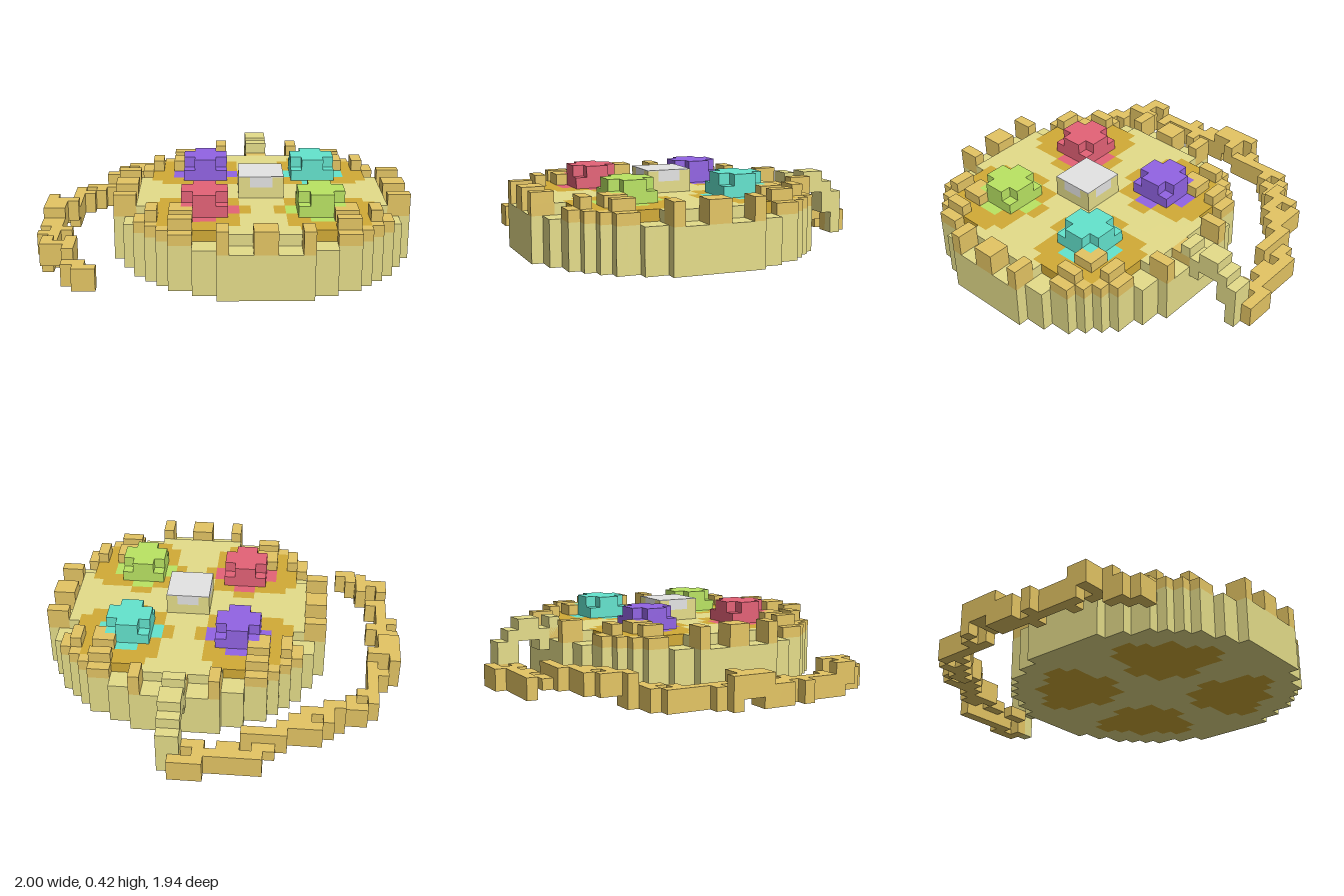
import * as THREE from 'three';
import { mergeGeometries } from 'three/addons/utils/BufferGeometryUtils.js';

const C = 2 / 33; // edge of one block

const mat = (name, color) => {
  const m = new THREE.MeshStandardMaterial({ color });
  m.name = name;
  return m;
};

// Box covering block cells [i0,i1) x [k0,k1) x [j0,j1) along x, y, z
function block(i0, i1, k0, k1, j0, j1) {
  const g = new THREE.BoxGeometry((i1 - i0) * C, (k1 - k0) * C, (j1 - j0) * C);
  g.translate(((i0 + i1) / 2 - 16.5) * C, ((k0 + k1) / 2) * C, ((j0 + j1) / 2 - 16) * C);
  return g;
}

export function createModel() {
  const model = new THREE.Group();
  const olive = mat('olive', 0xe5dd8a);
  const tan = mat('tan', 0xe4c564);
  const brown = mat('darkBrown', 0xd2ab36);
  const grey = mat('grey', 0xe4e4e4);
  const red = mat('red', 0xe46277);
  const green = mat('green', 0xbae463);
  const purple = mat('purple', 0x9264e4);
  const teal = mat('teal', 0x64e4ce);

  const add = (name, material, blocks) => {
    const mesh = new THREE.Mesh(mergeGeometries(blocks), material);
    mesh.name = name;
    model.add(mesh);
  };

  // Disc is mirrored about (20, 19): a and b are distances from its centre lines
  const CX = 20, CZ = 19;
  const inPatch = (a, b) => {
    const r = Math.hypot(a, b), lo = Math.min(a, b);
    return (a - 5) ** 2 + (b - 5) ** 2 < 13 || (r > 7.5 && r < 10.7 && lo > (r > 9.5 ? 3 : 2));
  };
  const inKnobBase = (a, b) => (a - 5) ** 2 + (b - 5) ** 2 < 7;
  const eachCell = (fn) => {
    for (let i = 7; i < 33; i++) for (let j = 6; j < 32; j++) {
      const a = Math.abs(i + 0.5 - CX), b = Math.abs(j + 0.5 - CZ);
      if (a * a + b * b < 170) fn(i, j, a, b);
    }
  };

  // Rim studs: [a, b] pairs, used both ways round
  const studs = [[0.5, 11.5], [0.5, 12.5], [3.5, 11.5], [3.5, 12.5],
    [6.5, 9.5], [7.5, 9.5], [6.5, 7.5], [7.5, 7.5]];
  const rimSteps = [...studs.slice(0, 4), [6.5, 10.5], [7.5, 10.5], [8.5, 9.5]];
  const has = (list, a, b) => list.some(([p, q]) => (p === a && q === b) || (p === b && q === a));

  const body = [], patches = [], rim = [], stud = [];
  const knobs = { purple: [], teal: [], red: [], green: [] };
  const knobName = (i, j) => (j < CZ ? (i < CX ? 'purple' : 'teal') : (i < CX ? 'red' : 'green'));

  eachCell((i, j, a, b) => {
    const patch = inPatch(a, b), r2 = a * a + b * b;
    // Lower drum
    (patch ? patches : body).push(block(i, i + 1, 0, 4, j, j + 1));
    // Deck layer, dark between the studs
    if (has(rimSteps, a, b)) rim.push(block(i, i + 1, 4, 5, j, j + 1));
    else if (r2 < 125 || (r2 < 146 && Math.max(a, b) < 10)) {
      const target = inKnobBase(a, b) ? knobs[knobName(i, j)]
        : patch || (r2 > 112 && Math.min(a, b) > 4) ? patches : body;
      target.push(block(i, i + 1, 4, 5, j, j + 1));
    }
    // Raised studs; the rear middle is left to the cable outlet
    if (has(studs, a, b) && !(j < 9 && a < 1)) stud.push(block(i, i + 1, 5, 6, j, j + 1));
  });

  // Four knobs: square foot, plus-shaped cap
  for (const x of [15, 25]) for (const z of [14, 24]) {
    knobs[knobName(x, z)].push(
      block(x - 2, x + 2, 5, 6, z - 2, z + 2),
      block(x - 2, x + 2, 6, 7, z - 1, z + 1),
      block(x - 1, x + 1, 6, 7, z - 2, z - 1),
      block(x - 1, x + 1, 6, 7, z + 1, z + 2));
  }

  add('drumBody', olive, body);
  add('brownPatches', brown, patches);
  add('rim', tan, rim);
  add('rimStuds', tan, stud);
  add('purpleKnob', purple, knobs.purple);
  add('tealKnob', teal, knobs.teal);
  add('redKnob', red, knobs.red);
  add('greenKnob', green, knobs.green);

  // Centre button: olive foot and corner posts, grey cross and top plate
  const top = 6.92;
  const posts = [18, 21].flatMap((x) => [17, 20].map((z) => block(x, x + 1, 6, top, z, z + 1)));
  add('centreButton', olive, [block(18, 22, 5, 6, 17, 21), ...posts]);
  add('centreButtonCap', grey, [
    block(18, 22, top, 7, 17, 21),
    block(19, 21, 6, top, 17, 21),
    block(18, 19, 6, top, 18, 20),
    block(21, 22, 6, top, 18, 20)]);

  // Cable outlet arching down behind the drum
  add('cableOutlet', olive, [
    block(19, 21, 3, 5, 5, 6),
    block(19, 21, 4, 6, 3, 5),
    block(19, 21, 2, 5, 2, 3),
    block(19, 21, 2, 4, 1, 2),
    block(20, 21, 0, 2, 1, 2),
    block(19, 21, 4, 6, 6, 7)]);

  // Cable runs: [row, first column, last column, bottom, top]
  const runs = [
    [0, 17, 19, 0, 2], [1, 19, 19, 0, 2], [1, 12, 17, 0, 2],
    [2, 17, 18, 1, 2], [2, 14, 15, 1, 2], [2, 11, 12, 1, 2],
    [3, 10, 13, 1, 3], [4, 7, 10, 1, 3], [5, 6, 6, 1, 3], [5, 8, 9, 1, 3],
    [6, 6, 8, 1, 3], [7, 5, 6, 0, 3], [8, 3, 5, 0, 2], [9, 2, 2, 0, 2],
    [9, 4, 4, 0, 2], [10, 2, 3, 0, 2], [11, 2, 2, 0, 2], [12, 2, 2, 0, 2],
    [13, 1, 2, 0, 2], [14, 0, 0, 0, 3], [14, 2, 2, 0, 2], [15, 0, 2, 1, 3],
    [16, 0, 1, 1, 3], [17, 0, 1, 0, 3], [18, 0, 1, 0, 2], [19, 0, 1, 0, 2],
    [20, 1, 2, 0, 2], [21, 0, 1, 0, 2], [22, 1, 1, 0, 2]];
  const tail = [
    [23, 1, 1, 0, 2], [24, 1, 2, 0, 2], [25, 1, 1, 0, 3], [25, 3, 3, 1, 3],
    [26, 1, 3, 1, 3], [27, 3, 3, 0, 3], [28, 3, 4, 0, 2], [29, 4, 5, 0, 2]];
  const toBlock = ([j, i0, i1, k0, k1]) => block(i0, i1 + 1, k0, k1, j, j + 1);
  add('cable', tan, runs.map(toBlock));
  add('cableEnd', tan, tail.map(toBlock));

  return model;
}
